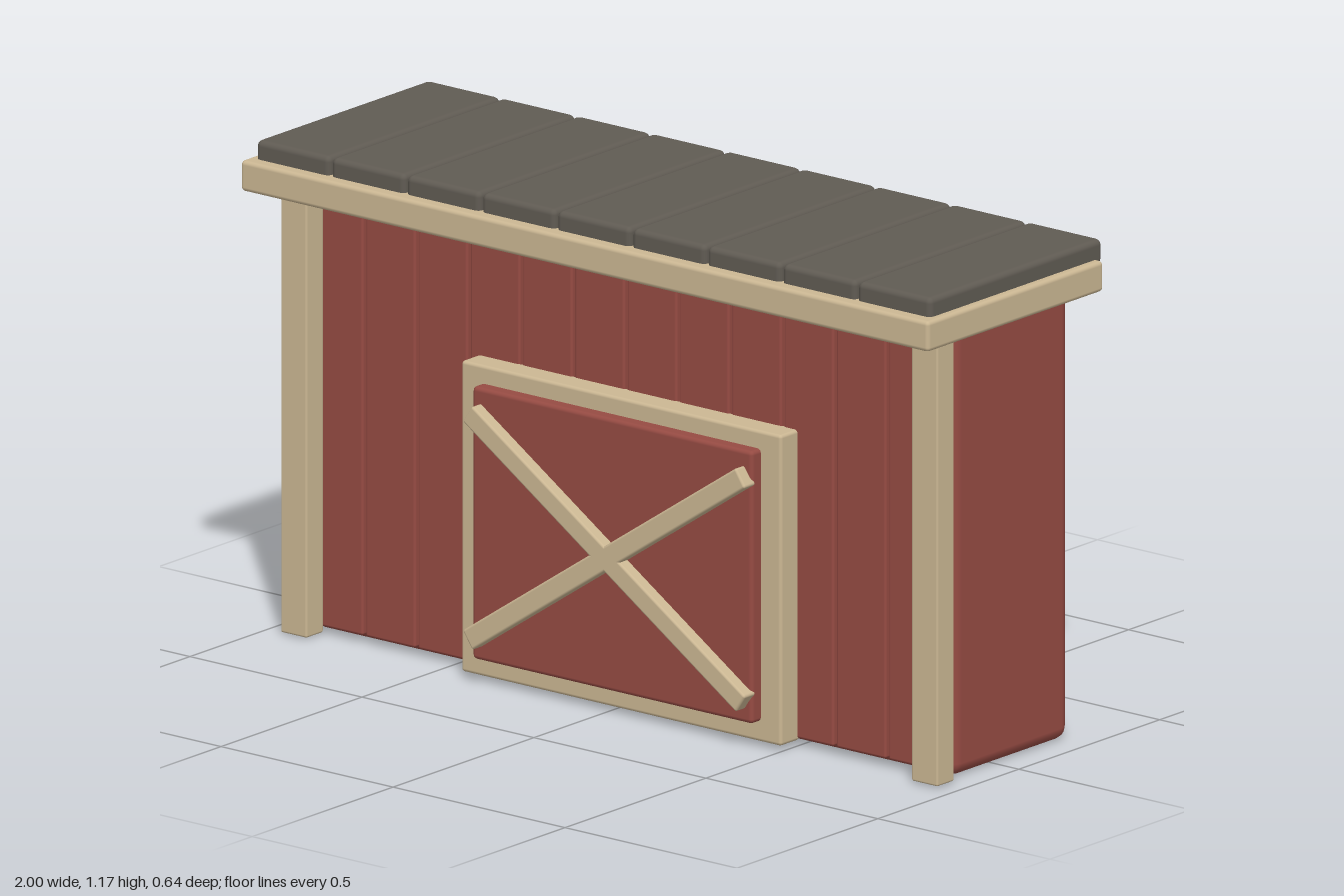
import * as THREE from 'three';
import { RoundedBoxGeometry } from 'three/addons/geometries/RoundedBoxGeometry.js';

const material = (name, color) => {
  const m = new THREE.MeshStandardMaterial({ color });
  m.name = name;
  return m;
};

export function createModel() {
  const red = material('barn red', 0x964b43);
  const cream = material('cream trim', 0xcbb793);
  const slate = material('dark roof', 0x605b53);
  const model = new THREE.Group();
  model.name = 'barnShed';

  // Soft-edged box given by its extents along each axis
  const slab = (name, mat, [x0, x1], [y0, y1], [z0, z1], radius, parent = model) => {
    const mesh = new THREE.Mesh(new RoundedBoxGeometry(x1 - x0, y1 - y0, z1 - z0, 2, radius), mat);
    mesh.position.set((x0 + x1) / 2, (y0 + y1) / 2, (z0 + z1) / 2);
    mesh.name = name;
    parent.add(mesh);
    return mesh;
  };

  // Main body
  slab('body', red, [-0.935, 0.935], [0, 1.08], [-0.262, 0.152], 0.03);

  // Vertical boards across the front
  const pitch = 0.152;
  for (let i = 0; i < 12; i++) {
    const x = (i - 5.5) * pitch;
    slab('frontBoard', red, [x - 0.072, x + 0.072], [0.018, 1.07], [0.13, 0.175], 0.006);
  }

  // Corner posts
  for (const side of [-1, 1]) {
    const x = side * 0.917;
    slab('cornerPost', cream, [x - 0.038, x + 0.038], [0.004, 1.07], [0.173, 0.234], 0.005);
  }

  // Door: frame, raised panel and crossed braces
  const door = new THREE.Group();
  door.name = 'door';
  model.add(door);
  slab('doorFrame', cream, [-0.43, 0.5], [0.012, 0.742], [0.165, 0.234], 0.008, door);
  slab('doorPanel', red, [-0.372, 0.442], [0.06, 0.7], [0.2, 0.266], 0.01, door);
  for (const side of [-1, 1]) {
    const brace = slab('doorBrace', cream, [-0.443, 0.513], [0.353, 0.403], [0.255, 0.296], 0.006, door);
    brace.rotation.z = side * 0.59;
  }

  // Roof base and boards
  slab('roofTrim', cream, [-1, 1], [1.052, 1.124], [-0.302, 0.322], 0.01);
  for (let i = 0; i < 9; i++) {
    const x = (i - 4) * 0.2185;
    slab('roofBoard', slate, [x - 0.107, x + 0.107], [1.108, 1.168], [-0.322, 0.291], 0.014);
  }

  return model;
}
